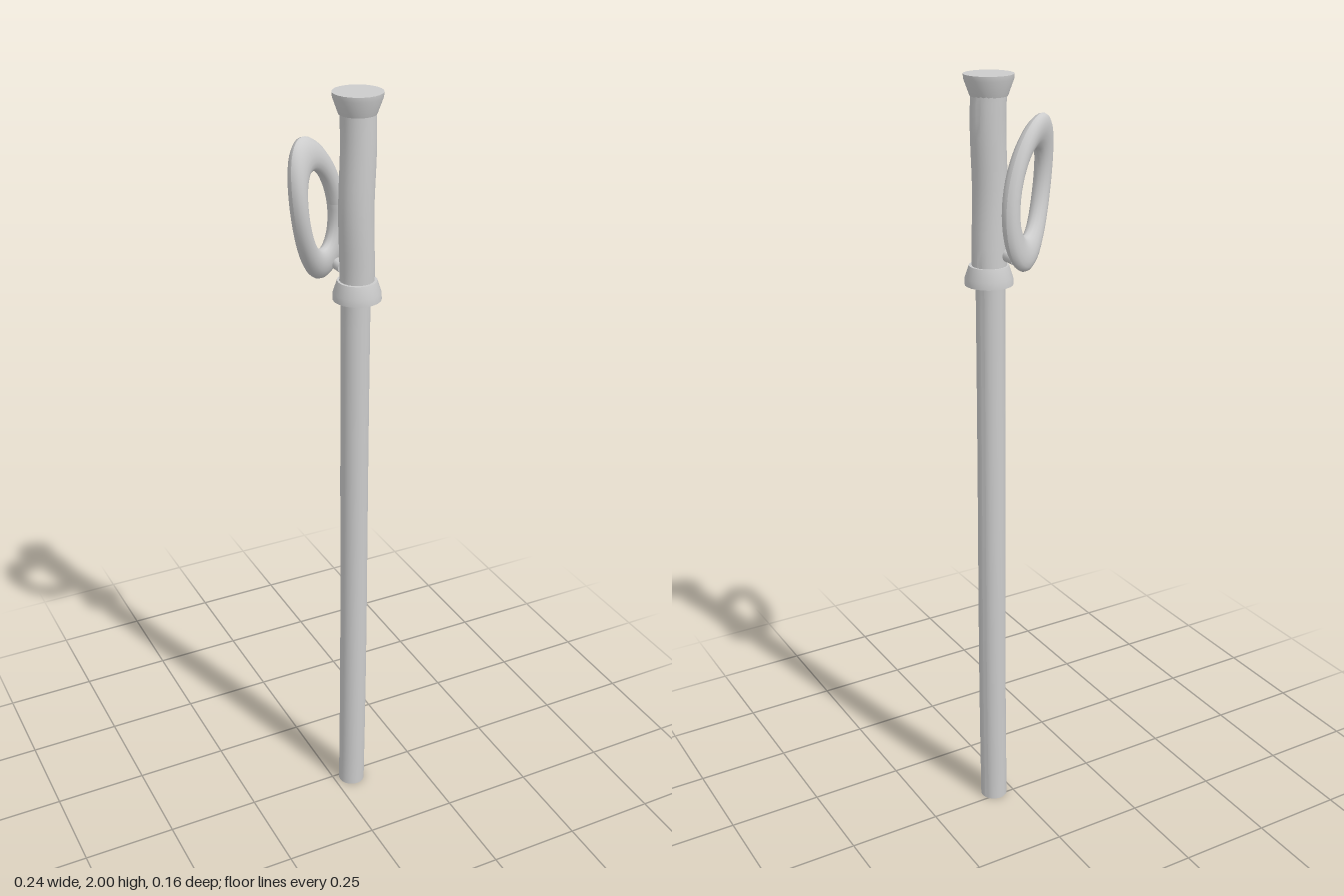
import * as THREE from 'three';
import { toCreasedNormals } from 'three/addons/utils/BufferGeometryUtils.js';

const CX = 0.053, CZ = 0.019; // axis of the staff
const grey = new THREE.MeshStandardMaterial({ color: 0xcccccc, side: THREE.DoubleSide });

// Moves every vertex of a geometry by a rule
function warp(geo, rule) {
  const p = geo.attributes.position;
  const v = new THREE.Vector3();
  for (let i = 0; i < p.count; i++) {
    rule(v.fromBufferAttribute(p, i));
    p.setXYZ(i, v.x, v.y, v.z);
  }
  geo.computeVertexNormals();
  return geo;
}

// Solid of revolution about the staff axis from [radius, y] points
function turned(points, x = CX) {
  const geo = new THREE.LatheGeometry(points.map(([r, y]) => new THREE.Vector2(r, y)), 24);
  return toCreasedNormals(geo.translate(x, 0, CZ), 0.6);
}

// Slightly uneven rod; sway(y) gives its sideways offset [x, z]
function rod(y0, y1, r, rings, sway) {
  const geo = new THREE.CylinderGeometry(r, r, y1 - y0, 20, rings);
  geo.translate(CX, (y0 + y1) / 2, CZ);
  return toCreasedNormals(warp(geo, (v) => {
    const [dx, dz] = sway(v.y);
    v.x += dx;
    v.z += dz;
  }), 0.6);
}

export function createModel() {
  const group = new THREE.Group();
  const add = (name, geo) => {
    const mesh = new THREE.Mesh(geo, grey);
    mesh.name = name;
    group.add(mesh);
  };

  // Long, hand-cut shaft
  add('shaft', rod(0, 1.53, 0.0365, 16, (y) => [
    0.002 * Math.sin(y * 4.2 - 1), 0.002 * Math.sin(y * 5 + 1),
  ]));

  // Gently bowed grip
  add('grip', rod(1.52, 1.97, 0.043, 12, (y) => [
    0.003 * Math.cos((y - 1.9) * 18), 0.003 * Math.sin((y - 1.6) * 11),
  ]));

  // Flared end cap and collar
  add('pommel', turned([[0, 1.95], [0.045, 1.95], [0.059, 1.988], [0.06, 2], [0, 2]]));
  add('collar', turned([[0, 1.5], [0.06, 1.5], [0.059, 1.518], [0.049, 1.548], [0, 1.548]], 0.056));

  // Tall leaning ring beside the grip, its top and bottom bowed backwards
  const ring = warp(new THREE.TorusGeometry(0.075, 0.022, 16, 48), (v) => {
    const y = v.y * 1.88;
    const along = v.x - 0.22 * y;
    const out = v.z - 0.018 * (y / 0.183) ** 2;
    v.set(
      -0.03 + along * 0.857 + out * 0.515,
      1.722 + y,
      -0.016 - along * 0.515 + out * 0.857,
    );
  });
  add('ring', ring);

  // Peg joining the ring to the grip
  const peg = new THREE.CylinderGeometry(0.014, 0.014, 0.06, 12);
  peg.rotateX(Math.PI / 2).translate(0.028, 1.575, -0.032);
  add('ringPeg', toCreasedNormals(peg, 0.6));

  return group;
}
